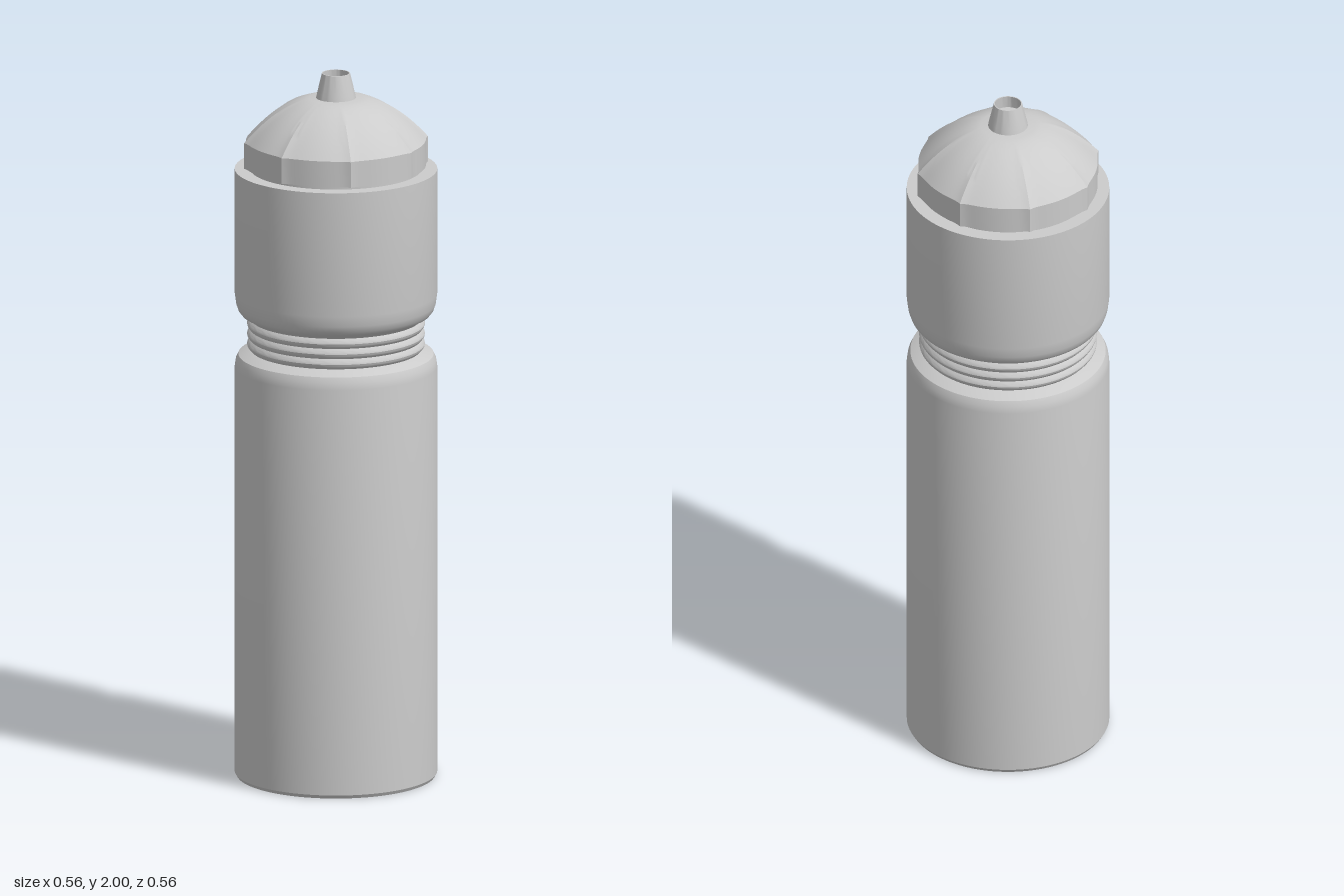
import * as THREE from 'three';
import { toCreasedNormals } from 'three/addons/utils/BufferGeometryUtils.js';

const material = new THREE.MeshStandardMaterial({ color: 0xcccccc });

// Smooth turned part with sharp profile edges
function lathe(name, profile, segments = 96, reshape) {
  const geometry = new THREE.LatheGeometry(profile.map(([r, y]) => new THREE.Vector2(r, y)), segments);
  if (reshape) reshape(geometry.attributes.position);
  const mesh = new THREE.Mesh(toCreasedNormals(geometry, 0.45), material);
  mesh.name = name;
  return mesh;
}

export function createModel() {
  const group = new THREE.Group();
  group.name = 'sportsBottle';

  // Body: lower barrel, ringed grip, upper barrel
  const body = [[0, 0], [0.274, 0], [0.28, 0.01], [0.28, 1.165], [0.277, 1.185], [0.27, 1.2], [0.25, 1.21]];
  const rings = 3, ringBottom = 1.215, ringHeight = 0.029;
  for (let i = 0; i < rings; i++) {
    for (let j = 0; j <= 6; j++) {
      if (i > 0 && j === 0) continue;
      const t = j / 6;
      body.push([0.237 + 0.009 * Math.sin(Math.PI * t), ringBottom + (i + t) * ringHeight]);
    }
  }
  body.push([0.247, 1.31], [0.262, 1.318], [0.27, 1.328], [0.276, 1.345], [0.28, 1.375],
    [0.28, 1.728], [0.24, 1.728], [0, 1.728]);
  group.add(lathe('body', body));

  // Neck hidden under the cap
  group.add(lathe('neck', [[0.238, 1.725], [0.238, 1.742]]));

  // Domed cap, panels sunk between eight sharp ribs
  const ribs = 8;
  const dome = [[0, 1.737], [0.257, 1.737], [0.257, 1.81]];
  const curve = new THREE.QuadraticBezierCurve(
    new THREE.Vector2(0.257, 1.81), new THREE.Vector2(0.165, 1.915), new THREE.Vector2(0.075, 1.93));
  for (const p of curve.getPoints(12).slice(1)) dome.push([p.x, p.y]);
  dome.push([0, 1.931]);
  group.add(lathe('cap', dome, 128, (pos) => {
    for (let i = 0; i < pos.count; i++) {
      const x = pos.getX(i), z = pos.getZ(i), r = Math.hypot(x, z);
      const turn = Math.atan2(x, z) / (Math.PI * 2) * ribs;
      const offRib = Math.abs(turn - Math.round(turn)) * 2;
      const fade = THREE.MathUtils.smoothstep(r, 0.06, 0.15);
      const k = 1 - 0.036 * fade * (1 - Math.exp(-6 * offRib));
      pos.setX(i, x * k);
      pos.setZ(i, z * k);
    }
  }));

  // Tapered spout with a recessed mouth
  group.add(lathe('spout', [[0.056, 1.925], [0.052, 1.945], [0.039, 2], [0.036, 2], [0.038, 1.965], [0, 1.965]], 48));

  return group;
}
